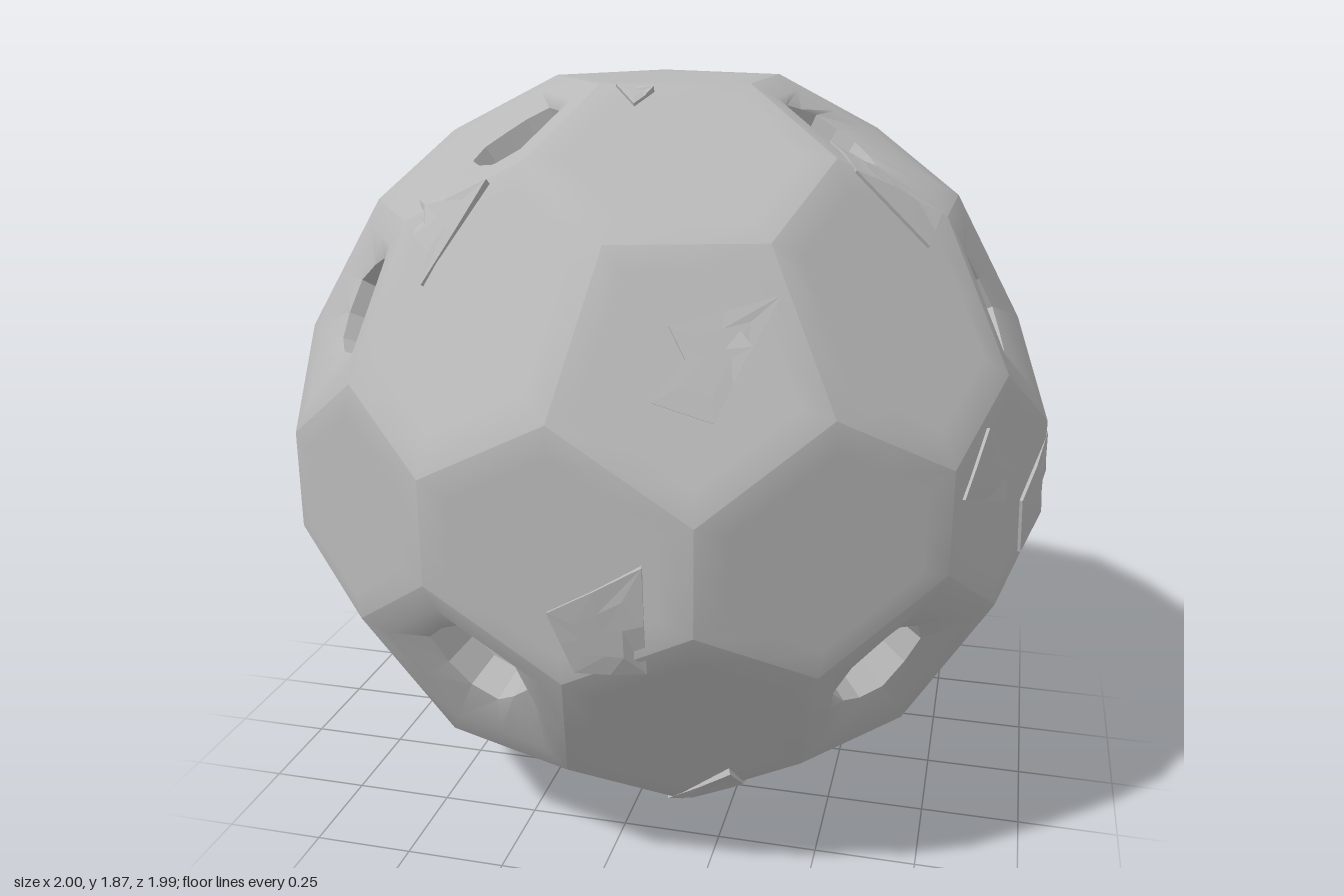
import * as THREE from 'three';

const V = (x, y, z) => new THREE.Vector3(x, y, z);
const PENT = 0.935, HEX = 0.925, BELT = 0.947, INNER = 0.9, TURN = 1.5;

// Twelve pentagon directions: two poles and two staggered rings
function pentDirections() {
  const dirs = [V(0, 1, 0), V(0, -1, 0)];
  for (const [y, start] of [[0.4472, 0], [-0.4472, 36]])
    for (let i = 0; i < 5; i++) {
      const a = THREE.MathUtils.degToRad(start + i * 72 + TURN);
      dirs.push(V(0.8944 * Math.cos(a), y, 0.8944 * Math.sin(a)));
    }
  return dirs;
}

// Facet planes: pentagons, plus a hexagon between each neighbouring pair.
// The belt of hexagons sits further out; closed hexagons bulge to a set radius.
function makePlanes() {
  const pents = pentDirections();
  const planes = pents.map(n => ({ n, d: PENT }));
  for (let i = 0; i < 12; i++)
    for (let j = i + 1; j < 12; j++) {
      if (pents[i].dot(pents[j]) < 0.4) continue;
      const n = pents[i].clone().add(pents[j]).normalize();
      const belt = Math.abs(n.y) < 0.1;
      const bulge = !belt ? 0.955 : Math.abs(n.x) < 0.7 ? 0.995 : 0.955;
      planes.push({ n, d: belt ? BELT : HEX, bulge });
    }
  return planes;
}

// Put points in anticlockwise order seen from outside
function sortAround(points, n) {
  const c = points.reduce((s, p) => s.add(p), V(0, 0, 0)).divideScalar(points.length);
  const u = points[0].clone().sub(c).projectOnPlane(n).normalize();
  const w = n.clone().cross(u);
  const angle = p => Math.atan2(p.clone().sub(c).dot(w), p.clone().sub(c).dot(u));
  points.sort((a, b) => angle(a) - angle(b));
  return c;
}

// Insert the middle of every edge into a loop
const withMidpoints = loop =>
  loop.flatMap((p, i) => [p, p.clone().lerp(loop[(i + 1) % loop.length], 0.5)]);

// Corners of each facet, where three planes meet
function findCorners(planes) {
  planes.forEach(p => { p.corners = []; });
  const N = planes.length;
  for (let i = 0; i < N; i++) for (let j = i + 1; j < N; j++) for (let k = j + 1; k < N; k++) {
    const a = planes[i], b = planes[j], c = planes[k];
    const bc = b.n.clone().cross(c.n), det = a.n.dot(bc);
    if (Math.abs(det) < 1e-4) continue;
    const p = bc.multiplyScalar(a.d)
      .add(c.n.clone().cross(a.n).multiplyScalar(b.d))
      .add(a.n.clone().cross(b.n).multiplyScalar(c.d)).divideScalar(det);
    if (planes.some(q => q.n.dot(p) > q.d + 1e-4)) continue;
    for (const f of [a, b, c])
      if (!f.corners.some(q => q.distanceTo(p) < 1e-3)) f.corners.push(p.clone());
  }
  planes.forEach(f => {
    f.centre = sortAround(f.corners, f.n);
    f.corners = withMidpoints(f.corners);
  });
}

// Small triangle collector with optional smooth normals
class Builder {
  constructor() { this.pos = []; this.nor = []; }
  tri(a, b, c, na, nb, nc) {
    const flat = b.clone().sub(a).cross(c.clone().sub(a)).normalize();
    [a, b, c].forEach(p => this.pos.push(p.x, p.y, p.z));
    [na, nb, nc].forEach(n => { const m = n || flat; this.nor.push(m.x, m.y, m.z); });
  }
  // Strip from an outer loop to an inner loop
  band(outer, inner, no, ni) {
    outer.forEach((p, i) => {
      const j = (i + 1) % outer.length;
      this.tri(p, outer[j], inner[j], no && no[i], no && no[j], ni && ni[j]);
      this.tri(p, inner[j], inner[i], no && no[i], ni && ni[j], ni && ni[i]);
    });
  }
  fan(loop, c, n) {
    loop.forEach((p, i) => this.tri(p, loop[(i + 1) % loop.length], c, n, n, n));
  }
  mesh(name, material) {
    const g = new THREE.BufferGeometry();
    g.setAttribute('position', new THREE.Float32BufferAttribute(this.pos, 3));
    g.setAttribute('normal', new THREE.Float32BufferAttribute(this.nor, 3));
    const m = new THREE.Mesh(g, material);
    m.name = name;
    return m;
  }
}

// Directions of the openings
const OPENINGS = [
  [0.38, 0.82, 0.01], [-0.3, 0.83, -0.25], [-0.28, 0.83, 0.27], [0.82, 0.43, 0.07],
  [-0.65, 0.43, 0.5], [-0.6, 0.43, -0.55], [0.25, 0.38, -0.82], [-0.27, -0.35, 0.85],
  [0.63, -0.38, 0.54], [0.7, -0.43, -0.48], [0.35, -0.83, 0.2], [-0.82, -0.43, -0.07],
].map(p => V(...p).normalize());

// Raised chips: axis they face, then outline (x,y), (z,y) or (x,z)
const CHIPS = [
  ['z', [0.19, 1.42], [0.4, 1.46], [0.3, 1.24]],
  ['z', [-0.03, 0.83], [0.17, 0.95], [0.17, 0.69], [0.02, 0.69]],
  ['z', [0.13, 0.18], [0.3, 0.3], [0.33, 0.19]],
  ['z', [-0.48, 1.6], [-0.27, 1.65], [-0.4, 1.45]],
  ['x', [0.43, 1.13], [0.29, 1.0], [0.35, 0.93], [0.54, 1.0]],
  ['x', [0.2, 0.88], [0.01, 1.0], [-0.09, 0.87], [0.17, 0.74]],
  ['y', [-0.13, -0.43], [0.0, -0.58], [0.14, -0.55], [0.02, -0.3]],
  ['y', [0.44, 0.23], [0.68, 0.22], [0.68, 0.32], [0.5, 0.34]],
  ['y', [-0.06, 0.28], [0.03, 0.28], [0.0, 0.35]],
  ['y', [0.17, 0.87], [0.3, 0.74], [0.36, 0.76], [0.3, 0.85]],
];

export function createModel() {
  const group = new THREE.Group();
  group.name = 'facetedHollowBall';
  const grey = new THREE.MeshStandardMaterial({ color: 0xb8b8b8 });
  grey.name = 'stone grey';
  const planes = makePlanes();
  findCorners(planes);

  const outer = new Builder(), inner = new Builder(), rims = new Builder();
  planes.forEach((f, k) => {
    const { n, corners } = f;
    const hole = OPENINGS.find(o => planes.every(q => q.n.dot(o) <= n.dot(o) + 1e-6));
    const centre = f.bulge && !hole ? n.clone().multiplyScalar(f.bulge) : f.centre;
    const soft = corners.map(p => p.clone().normalize().add(n).normalize());
    const flat = corners.map(() => n);
    const mid = corners.map(p => centre.clone().lerp(p, 0.76));
    const back = corners.map(p => p.clone().multiplyScalar(INNER));
    outer.band(corners, mid, soft, flat);
    if (!hole) {
      outer.fan(mid, centre, n);
      inner.fan(back.slice().reverse(), centre.clone().multiplyScalar(INNER));
      return;
    }
    // Sunken collar around the opening, a throat, and the inner skin
    const hc = hole.clone().multiplyScalar(f.d / hole.dot(n)).lerp(centre, 0.35);
    const lip = corners.map((p, i) => hc.clone()
      .addScaledVector(p.clone().sub(centre).normalize(), 0.128 + 0.012 * Math.sin(i * 2.3 + k))
      .addScaledVector(n, -0.025));
    const throat = lip.map(p => p.clone().multiplyScalar(INNER));
    outer.band(mid, lip, flat);
    rims.band(lip, throat);
    inner.band(back.slice().reverse(), throat.slice().reverse());
  });
  const shell = outer.mesh('outerShell', grey);
  group.add(shell, inner.mesh('innerShell', grey), rims.mesh('openingRims', grey));

  // Chips drape over the shell and lift slightly at one side
  const chips = new Builder();
  const onShell = (p, lift) => {
    const d = p.clone().normalize();
    const ray = new THREE.Raycaster(d.clone().multiplyScalar(2), d.clone().negate(), 0, 1.5);
    const hit = ray.intersectObject(shell)[0];
    return d.multiplyScalar((hit ? hit.point.length() : HEX) + lift);
  };
  for (const [axis, ...outline] of CHIPS) {
    const points = outline.map(([a, b]) => {
      const h = axis === 'y' ? b : b - PENT;
      const w = Math.sqrt(Math.max(0.01, 0.9 - a * a - h * h));
      return axis === 'z' ? V(a, h, w) : axis === 'x' ? V(w, h, a) : V(a, w, h);
    });
    const n = points.reduce((s, p) => s.add(p), V(0, 0, 0)).normalize();
    const centre = sortAround(points, n);
    const loop = withMidpoints(points);
    const top = loop.map((p, i) => onShell(p, i === 0 ? 0.016 : 0.008));
    const ring = loop.map(p => onShell(p.clone().lerp(centre, 0.5), 0.009));
    chips.band(loop.map(p => onShell(p, -0.02)), top);
    chips.band(top, ring);
    chips.fan(ring, onShell(centre, 0.009));
  }
  group.add(chips.mesh('surfaceChips', grey));
  group.children.forEach(m => { m.position.y = PENT; });
  return group;
}
